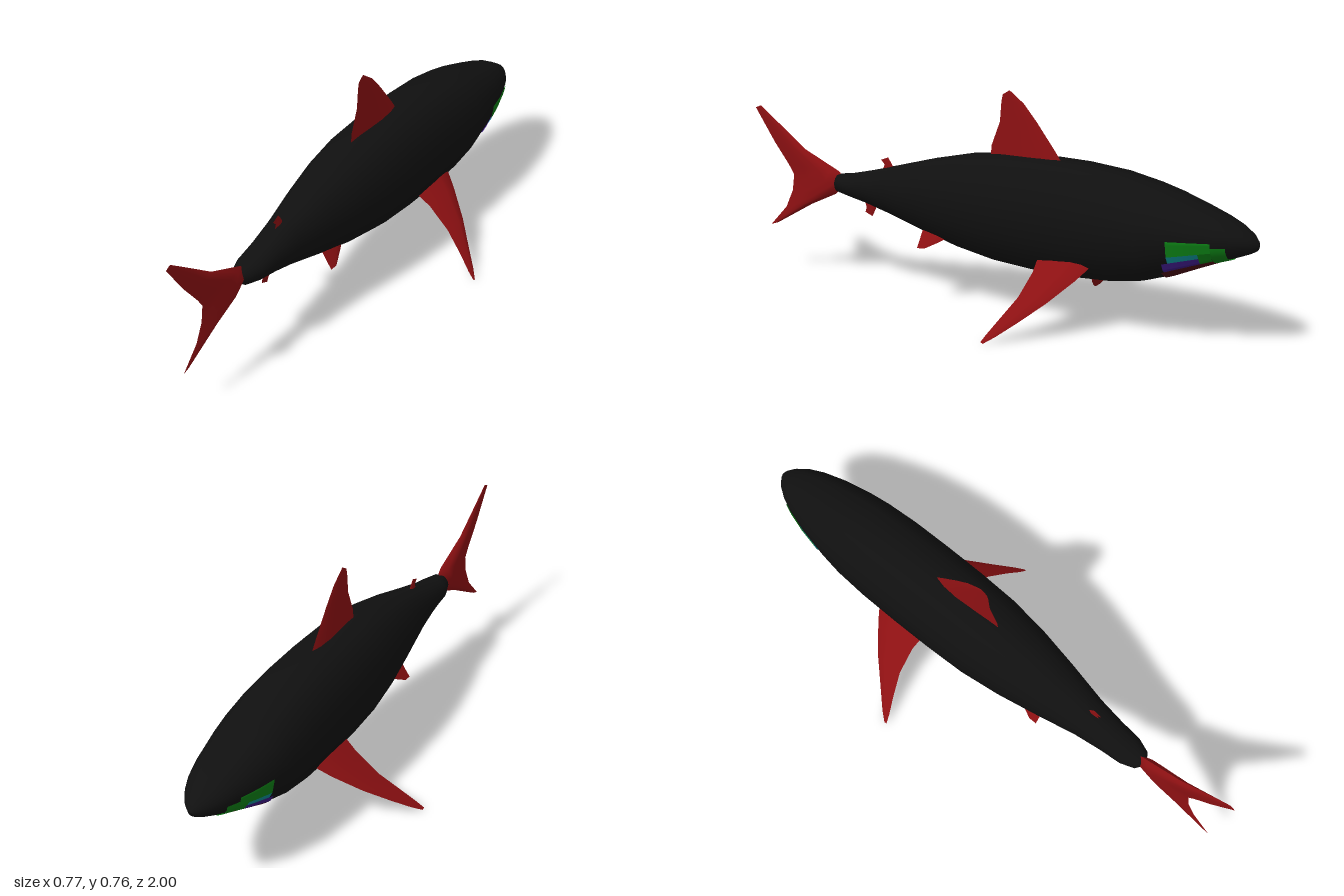
import * as THREE from 'three';

const paint = (name, color) => new THREE.MeshStandardMaterial({ name, color, side: THREE.DoubleSide });

// Body stations: z, belly y, back y, half width
const STATIONS = [
  [-1, 0.35, 0.352, 0.001], [-0.992, 0.334, 0.368, 0.018], [-0.97, 0.322, 0.388, 0.043],
  [-0.93, 0.306, 0.41, 0.07], [-0.88, 0.289, 0.43, 0.092], [-0.8, 0.256, 0.456, 0.116],
  [-0.7, 0.213, 0.487, 0.136], [-0.62, 0.186, 0.507, 0.146], [-0.5, 0.166, 0.53, 0.152],
  [-0.35, 0.158, 0.543, 0.153], [-0.2, 0.162, 0.545, 0.152], [-0.05, 0.173, 0.54, 0.147],
  [0.1, 0.198, 0.52, 0.129], [0.25, 0.235, 0.485, 0.102], [0.4, 0.275, 0.442, 0.072],
  [0.5, 0.3, 0.413, 0.06], [0.58, 0.316, 0.393, 0.054], [0.63, 0.324, 0.386, 0.035],
  [0.645, 0.34, 0.37, 0.012]
];
// Half cross-section from belly (0) to back (8)
const SECTION = [[0, -1], [0.46, -0.93], [0.75, -0.71], [0.935, -0.36], [1, 0],
  [0.96, 0.35], [0.78, 0.69], [0.46, 0.97], [0, 1]];

const lerp = THREE.MathUtils.lerp;

// Point on the body: u runs from belly up one side (negative = other side)
function bodyPoint(u, z, grow = 0) {
  let i = 0;
  while (i < STATIONS.length - 2 && z > STATIONS[i + 1][0]) i++;
  const a = STATIONS[i], b = STATIONS[i + 1], f = (z - a[0]) / (b[0] - a[0]);
  const low = lerp(a[1], b[1], f), high = lerp(a[2], b[2], f), w = lerp(a[3], b[3], f);
  const v = Math.abs(u), k = Math.min(7, Math.floor(v));
  const sx = lerp(SECTION[k][0], SECTION[k + 1][0], v - k);
  const sy = lerp(SECTION[k][1], SECTION[k + 1][1], v - k);
  return [Math.sign(u) * sx * (w + grow), (low + high) / 2 + sy * ((high - low) / 2 + grow), z];
}

// Surface through rows of points
function surface(rows, closed = false) {
  const n = rows[0].length, cols = closed ? n : n - 1, index = [];
  for (let r = 0; r < rows.length - 1; r++) {
    for (let c = 0; c < cols; c++) {
      const a = r * n + c, b = r * n + (c + 1) % n;
      index.push(a, b, a + n, b, b + n, a + n);
    }
  }
  const g = new THREE.BufferGeometry();
  g.setAttribute('position', new THREE.Float32BufferAttribute(rows.flat(2), 3));
  g.setIndex(index);
  g.computeVertexNormals();
  return g;
}

// Thin painted plate following the body
function patch(u0, u1, z0, z1) {
  const rows = [];
  for (let r = 0; r <= 12; r++) {
    const row = [];
    for (let c = 0; c <= 12; c++) row.push(bodyPoint(lerp(u1, u0, c / 12), lerp(z0, z1, r / 12), 0.004));
    rows.push(row);
  }
  return surface(rows);
}

// Lens-shaped fin. Stations: x, lead y, lead z, trail y, trail z, half thickness
function fin(name, stations, normal, material) {
  const group = new THREE.Group();
  group.name = name;
  const profile = [[0, 0], [0.15, 0.75], [0.35, 1], [0.7, 0.55], [1, 0]];
  for (const side of [1, -1]) {
    const rows = stations.map(([x, yl, zl, yt, zt, t]) => profile.map(([f, h]) => [
      x + normal[0] * h * t * side, lerp(yl, yt, f) + normal[1] * h * t * side, lerp(zl, zt, f)]));
    const mesh = new THREE.Mesh(surface(rows), material);
    mesh.name = name + (side > 0 ? 'OuterFace' : 'InnerFace');
    group.add(mesh);
  }
  return group;
}

export function createModel() {
  const model = new THREE.Group();
  model.name = 'shark';
  const skin = paint('black skin', 0x101010);
  const red = paint('red fin', 0x8c1012);
  const jawRed = paint('dark red jaw', 0x4a0c14);
  const green = paint('green gum', 0x0c7d14);
  const cyan = paint('cyan mouth corner', 0x0c8a90);
  const purple = paint('purple lip', 0x3c1a84);

  const add = (name, geometry, material) => {
    const mesh = new THREE.Mesh(geometry, material);
    mesh.name = name;
    model.add(mesh);
  };

  // Body
  const rings = STATIONS.map(([z]) => Array.from({ length: 16 }, (_, i) => bodyPoint(8 - i, z)));
  add('body', surface(rings, true), skin);

  // Mouth: band around the front, lower jaw, lips and corners
  add('upperGumFront', patch(-3.6, 3.6, -0.915, -0.87), green);
  add('lowerJaw', patch(-1.75, 1.75, -0.87, -0.7), jawRed);
  for (const s of [1, -1]) {
    const tag = s > 0 ? 'Left' : 'Right';
    add('upperGum' + tag, patch(3 * s, 4.15 * s, -0.87, -0.73), green);
    add('frontGum' + tag, patch(1.75 * s, 3 * s, -0.87, -0.83), green);
    add('mouthCorner' + tag, patch(2.5 * s, 3 * s, -0.83, -0.73), cyan);
    add('lowerLip' + tag, patch(1.75 * s, 2.5 * s, -0.83, -0.71), purple);
  }

  // Upright fins
  const across = [1, 0];
  model.add(fin('dorsalFin', [
    [0, 0.52, -0.29, 0.52, 0, 0.014], [0, 0.575, -0.25, 0.567, -0.005, 0.011],
    [0, 0.665, -0.18, 0.65, -0.037, 0.007], [0, 0.722, -0.13, 0.72, -0.043, 0.004],
    [0, 0.762, -0.075, 0.745, -0.048, 0.001]], across, red));
  model.add(fin('secondDorsalFin', [
    [0, 0.415, 0.385, 0.41, 0.45, 0.006], [0, 0.45, 0.405, 0.445, 0.435, 0.004],
    [0, 0.472, 0.42, 0.46, 0.45, 0.001]], across, red));
  model.add(fin('analFin', [
    [0, 0.315, 0.46, 0.315, 0.525, 0.006], [0, 0.28, 0.475, 0.28, 0.515, 0.004],
    [0, 0.25, 0.49, 0.262, 0.52, 0.001]], across, red));
  model.add(fin('tailFin', [
    [0, 0.17, 0.91, 0.16, 0.94, 0.001], [0, 0.26, 0.755, 0.235, 0.87, 0.011],
    [0, 0.31, 0.65, 0.3, 0.84, 0.02], [0, 0.355, 0.6, 0.36, 0.832, 0.025],
    [0, 0.395, 0.63, 0.395, 0.855, 0.02], [0, 0.46, 0.78, 0.47, 0.915, 0.011],
    [0, 0.525, 0.87, 0.535, 0.96, 0.006], [0, 0.6, 0.975, 0.59, 0.998, 0.001]], across, red));

  // Paired side fins
  for (const s of [1, -1]) {
    const tag = s > 0 ? 'Left' : 'Right';
    model.add(fin('pectoralFin' + tag, [
      [0.1, 0.24, -0.46, 0.24, -0.25, 0.016], [0.16, 0.188, -0.42, 0.194, -0.26, 0.013],
      [0.24, 0.12, -0.355, 0.128, -0.252, 0.009], [0.31, 0.06, -0.285, 0.07, -0.225, 0.006],
      [0.36, 0.02, -0.235, 0.025, -0.203, 0.003], [0.385, 0, -0.205, 0.004, -0.195, 0.001]
    ].map(([x, ...rest]) => [x * s, ...rest]), [0.64 * s, 0.77], red));
    model.add(fin('pelvicFin' + tag, [
      [0.05, 0.245, 0.12, 0.245, 0.245, 0.006], [0.068, 0.216, 0.165, 0.216, 0.245, 0.004],
      [0.087, 0.19, 0.215, 0.188, 0.245, 0.001]
    ].map(([x, ...rest]) => [x * s, ...rest]), [0.84 * s, 0.54], red));
  }
  return model;
}
